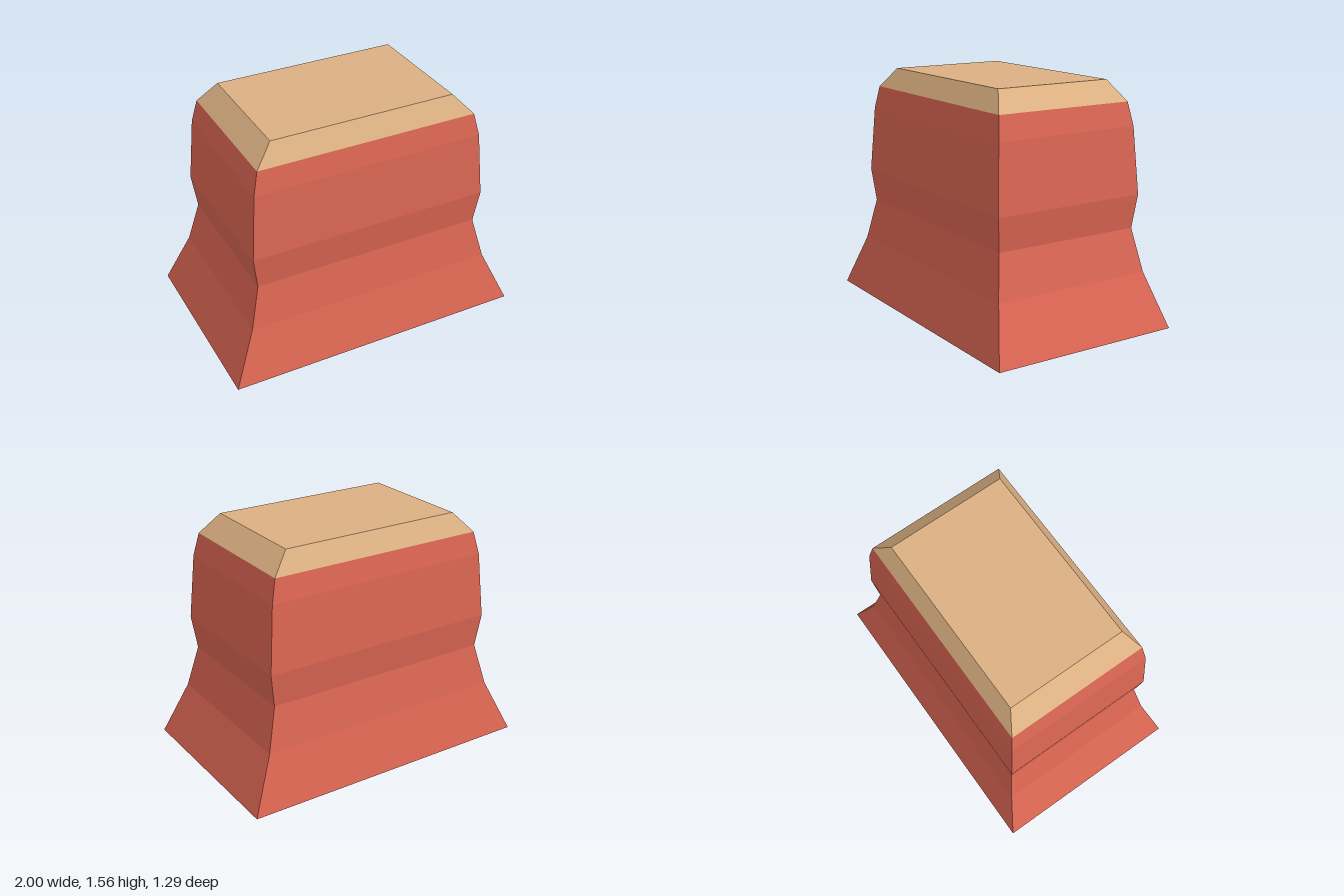
import * as THREE from 'three';

const redMat = new THREE.MeshStandardMaterial({ color: 0xdc6653 });
redMat.name = 'terracottaRed';
const tanMat = new THREE.MeshStandardMaterial({ color: 0xdcb082 });
tanMat.name = 'sandTan';

// Stack of rectangular cross-sections [y, halfWidth, halfDepth], with hard edges
function loft(rings, { capBottom = false, capTop = false }) {
  const positions = [];
  const corners = ([y, w, d]) => [[-w, y, d], [w, y, d], [w, y, -d], [-w, y, -d]];
  const quad = (a, b, c, d) => positions.push(...a, ...b, ...c, ...a, ...c, ...d);
  for (let i = 0; i < rings.length - 1; i++) {
    const low = corners(rings[i]);
    const high = corners(rings[i + 1]);
    for (let k = 0; k < 4; k++) {
      const n = (k + 1) % 4;
      quad(low[k], low[n], high[n], high[k]);
    }
  }
  if (capBottom) quad(...corners(rings[0]).reverse());
  if (capTop) quad(...corners(rings[rings.length - 1]));
  const geometry = new THREE.BufferGeometry();
  geometry.setAttribute('position', new THREE.Float32BufferAttribute(positions, 3));
  geometry.computeVertexNormals();
  return geometry;
}

export function createModel() {
  const group = new THREE.Group();
  group.name = 'mesaBlock';

  // Flared foot, pinched waist and bulging upper cliff
  const cliff = new THREE.Mesh(loft([
    [0, 1, 0.645],
    [0.35, 0.845, 0.548],
    [0.63, 0.775, 0.5],
    [0.85, 0.805, 0.522],
    [1.28, 0.77, 0.498],
    [1.43, 0.735, 0.475],
  ], { capBottom: true }), redMat);
  cliff.name = 'cliff';

  // Bevelled flat top
  const plateau = new THREE.Mesh(loft([
    [1.43, 0.735, 0.475],
    [1.56, 0.615, 0.4],
  ], { capTop: true }), tanMat);
  plateau.name = 'plateau';

  group.add(cliff, plateau);
  return group;
}
